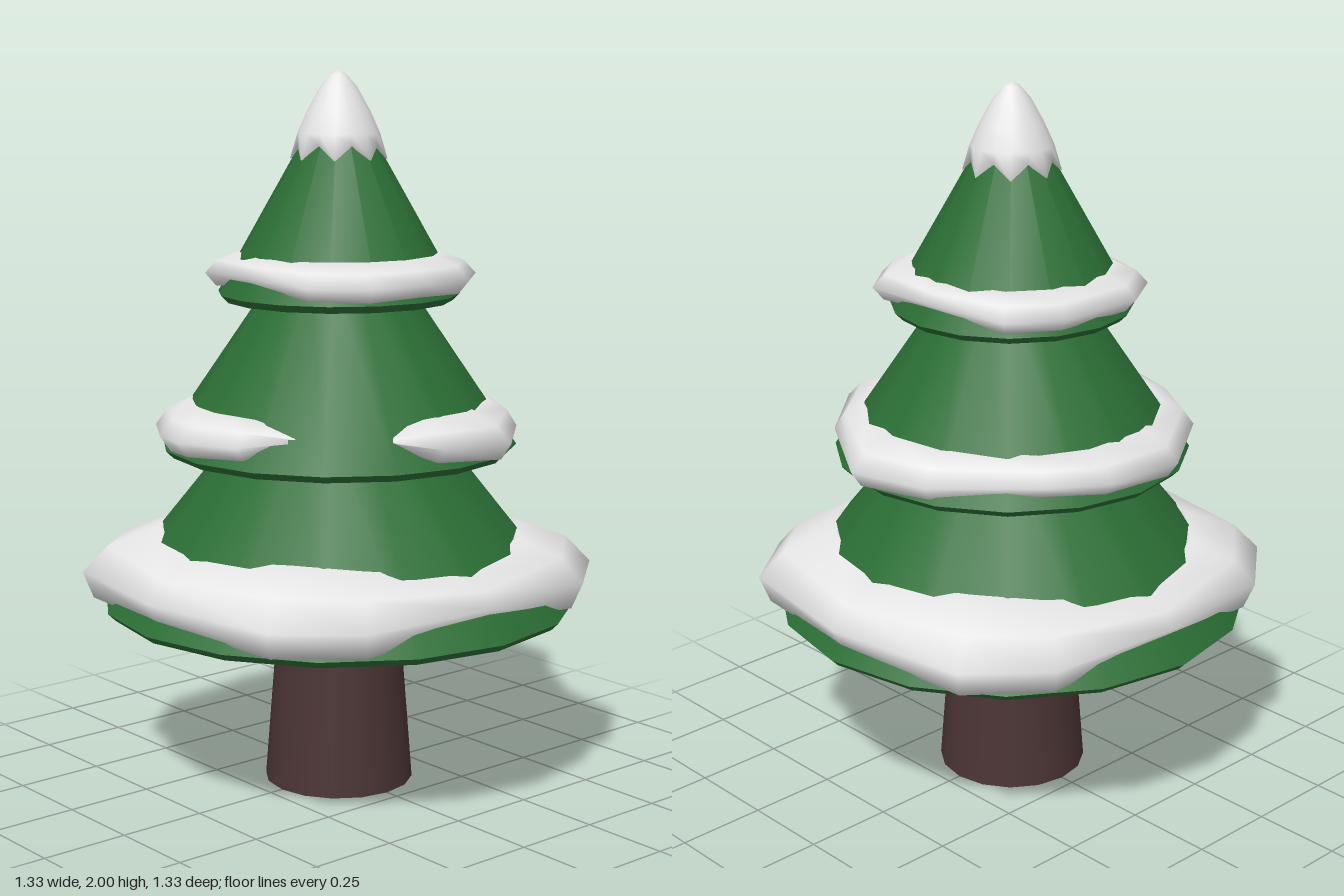
import * as THREE from 'three';
import { mergeGeometries, mergeVertices } from 'three/addons/utils/BufferGeometryUtils.js';

const material = (name, color, side = THREE.FrontSide) => {
  const m = new THREE.MeshStandardMaterial({ color, side });
  m.name = name;
  return m;
};

// Turned shape with sharp edges between profile segments
function turned(points, sides = 16) {
  const bands = [];
  for (let i = 0; i < points.length - 1; i++) {
    const pair = [points[i], points[i + 1]].map(([r, y]) => new THREE.Vector2(r, y));
    bands.push(new THREE.LatheGeometry(pair, sides));
  }
  return mergeGeometries(bands);
}

// Reflects drift stations about an angle, keeping those on the axis single
function mirrored(stations, axis) {
  const reflected = stations
    .filter(([deg]) => deg !== axis && deg !== axis - 180)
    .map(([deg, ...rest]) => [2 * axis - deg, ...rest])
    .reverse();
  return [...stations, ...reflected];
}

// Snow drift stations: angle in degrees, outer radius, bottom height, own top height if any
const cornerDrift = [[0, 0.66, 0.56, 0.715], [35, 0.72, 0.54, 0.74], [56, 0.695, 0.54, 0.73], [90, 0.62, 0.575, 0.69]];
const openDrift = [
  [142, 0.42, 1.045, 1.06], [162, 0.51, 1.0], [183, 0.535, 0.99], [199, 0.52, 0.98], [220, 0.51, 0.98],
  [256, 0.525, 0.985], [284, 0.525, 1.0], [304, 0.5, 1.005], [340, 0.51, 0.98], [365, 0.545, 0.98],
  [403, 0.495, 0.98], [434, 0.55, 0.98], [458, 0.515, 0.995], [477, 0.42, 1.045, 1.06],
];
const halfDrift = [[-69, 0.365, 1.41], [-43, 0.37, 1.41], [0, 0.325, 1.43], [37, 0.38, 1.41], [63, 0.38, 1.405], [90, 0.36, 1.41]];

// Foliage tiers: rim height and radius, slope of the side, and snow
const tiers = [
  { name: 'lower', y: 0.53, r: 0.665, slope: 0.8, top: 1.05,
    drift: mirrored(mirrored(cornerDrift, 90), 180), closed: true },
  { name: 'middle', y: 0.975, r: 0.495, slope: 0.68, top: 1.45,
    drift: openDrift, snowTop: 1.1, closed: false },
  { name: 'upper', y: 1.395, r: 0.335, slope: 0.565, top: 1.988,
    drift: mirrored(halfDrift, 90), snowTop: 1.505, closed: true },
];
const tierRadius = (t, y) => Math.max(0, t.r - (y - t.y) * t.slope);

// Lumpy band lying on a tier, lofted through its cross-sections
function driftGeometry(tier) {
  const positions = [], index = [], n = 6;
  const count = tier.drift.length;
  for (const [deg, R, low, high = tier.snowTop] of tier.drift) {
    const a = THREE.MathUtils.degToRad(deg), h = high - low;
    const lip = tierRadius(tier, high);
    const section = [
      [tierRadius(tier, low) - 0.08, low + 0.02],
      [R - 0.03, low],
      [R, low + 0.37 * h],
      [lip + 0.68 * (R - lip), low + 0.74 * h],
      [Math.min(R, lip + 0.006), high],
      [lip - 0.06, high - 0.03],
    ];
    for (const [r, y] of section) positions.push(r * Math.cos(a), y, r * Math.sin(a));
  }
  for (let i = 0; i < (tier.closed ? count : count - 1); i++) {
    for (let j = 0; j < n; j++) {
      const k = (j + 1) % n, next = (i + 1) % count;
      const a = i * n + j, b = i * n + k, c = next * n + k, d = next * n + j;
      index.push(a, b, c, a, c, d);
    }
  }
  const g = new THREE.BufferGeometry();
  g.setAttribute('position', new THREE.Float32BufferAttribute(positions, 3));
  g.setIndex(index);
  g.computeVertexNormals();
  return g;
}

// Rounded snow cap with a zigzag hem
function capGeometry() {
  const profile = [[0.1, 1.785], [0.126, 1.78], [0.113, 1.83], [0.086, 1.89], [0.05, 1.955], [0.022, 1.987], [0, 2]]
    .map(([r, y]) => new THREE.Vector2(r, y));
  const sides = 16;
  const g = new THREE.LatheGeometry(profile, sides);
  const p = g.attributes.position;
  for (let i = 0; i <= sides; i++) {
    const sign = i % 2 ? 1 : -1;
    for (let j = 0; j < 2; j++) {
      const v = i * profile.length + j, s = 1 - sign * 0.06;
      p.setXYZ(v, p.getX(v) * s, p.getY(v) + sign * 0.02, p.getZ(v) * s);
    }
  }
  g.deleteAttribute('uv');
  g.deleteAttribute('normal');
  const welded = mergeVertices(g);
  welded.computeVertexNormals();
  return welded;
}

export function createModel() {
  const bark = material('bark brown', 0x4b3434, THREE.DoubleSide);
  const needles = material('needle green', 0x2b6e35);
  const snow = material('snow white', 0xe6e6e6);
  const tree = new THREE.Group();
  tree.name = 'snowyTree';
  const add = (name, geometry, mat) => {
    const mesh = new THREE.Mesh(geometry, mat);
    mesh.name = name;
    tree.add(mesh);
  };

  // Tapered trunk, open at both ends
  add('trunk', turned([[0.21, 0], [0.155, 0.7]]), bark);

  for (const t of tiers) {
    // Hollowed underside, bevelled rim and sloping side
    const base = t.y - 0.02, inner = t.r - 0.02;
    const side = [[0, base + 0.3 * inner], [inner, base], [t.r, t.y], [tierRadius(t, t.top), t.top]];
    add(t.name + 'Foliage', turned(side), needles);
    add(t.name + 'SnowDrift', driftGeometry(t), snow);
  }

  add('snowCap', capGeometry(), snow);
  return tree;
}
